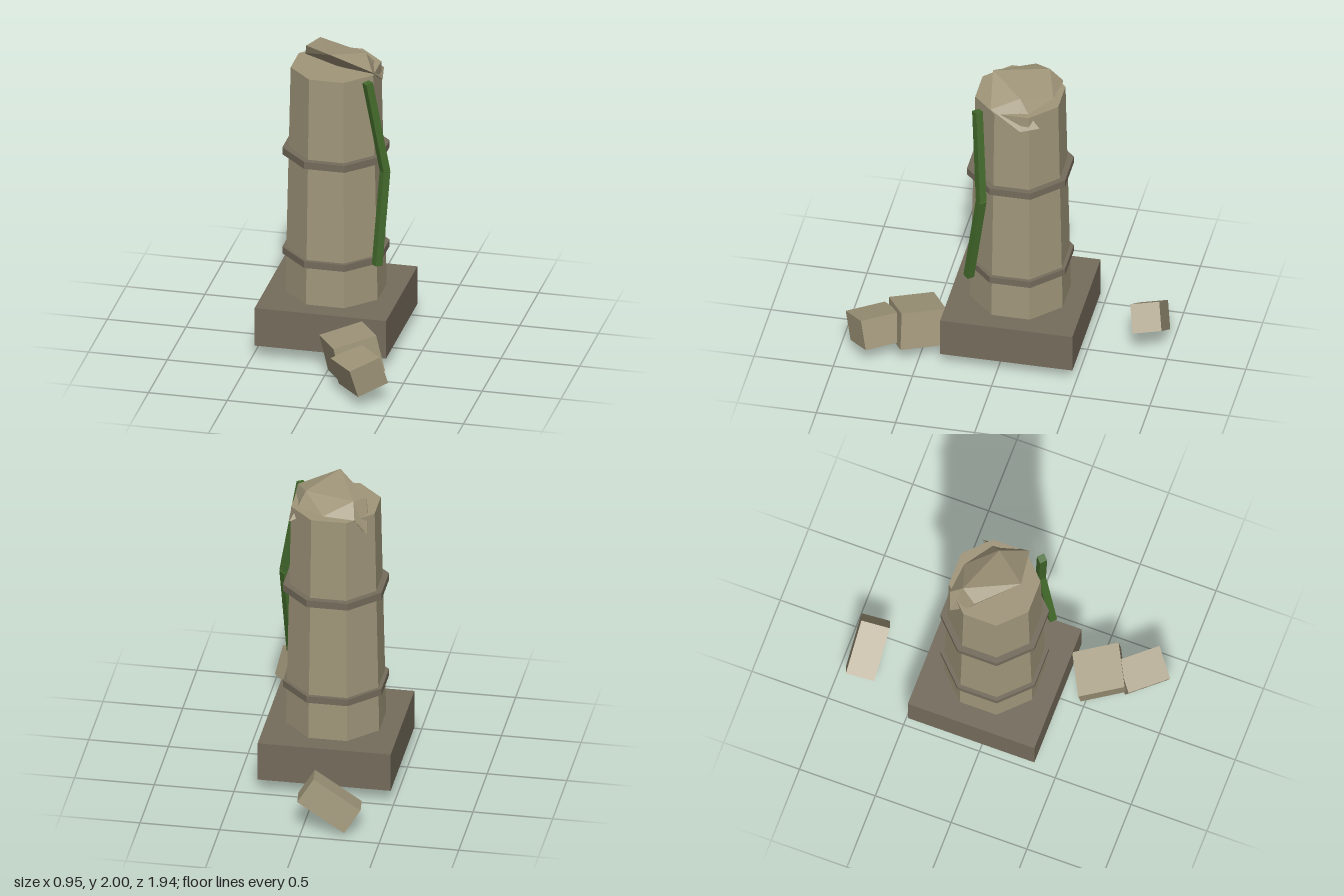
import * as THREE from 'three';

const mat = (color, extra = {}) => new THREE.MeshStandardMaterial({ color, flatShading: true, ...extra });
const V = (p) => new THREE.Vector3(...p);

export function createModel() {
  const model = new THREE.Group();
  const stone = mat(0xa0967a), darkStone = mat(0x756c5c), green = mat(0x446b2c);
  const CX = -0.0625, CZ = -0.0625;

  const add = (name, geometry, material, x = 0, y = 0, z = 0) => {
    const mesh = new THREE.Mesh(geometry, material);
    mesh.name = name;
    mesh.position.set(x, y, z);
    model.add(mesh);
    return mesh;
  };

  // Octagonal drum with a flat side to the front; radii measured to the flats
  const octagon = (name, rTop, rBottom, y0, y1, material) => {
    const k = 1 / Math.cos(Math.PI / 8);
    const g = new THREE.CylinderGeometry(rTop * k, rBottom * k, y1 - y0, 8);
    g.rotateY(Math.PI / 8);
    add(name, g, material, CX, (y0 + y1) / 2, CZ);
  };

  // Plinth, tapered shaft and the two bands
  add('plinth', new THREE.BoxGeometry(0.835, 0.255, 0.835), darkStone, CX, 0.2175, CZ);
  octagon('shaft', 0.262, 0.293, 0.345, 1.86, stone);
  octagon('lowerBand', 0.31, 0.31, 0.6, 0.645, darkStone);
  octagon('upperBand', 0.31, 0.31, 1.273, 1.32, darkStone);

  // Jagged broken slab on top, tilted up at the front with shards hanging at the back
  const p = {
    peak: [-0.06, 2.0, 0.11], right: [0.2, 1.89, 0.07], ridge: [0.12, 1.94, -0.1],
    backRidge: [-0.2, 1.96, -0.22], left: [-0.265, 1.94, -0.12], leftLow: [-0.28, 1.87, -0.16],
    shard: [0.22, 1.76, -0.12], shardTip: [0.2, 1.79, -0.24], notch: [0.16, 1.86, -0.16],
    back: [-0.02, 1.87, -0.28], backLeft: [-0.22, 1.87, -0.3],
    hook: [-0.295, 1.76, -0.27], under: [-0.05, 1.85, -0.05],
  };
  const faces = [
    'peak right ridge', 'peak ridge backRidge', 'peak backRidge left',
    'right shard ridge', 'ridge shard notch', 'shard shardTip notch', 'right under shard',
    'ridge notch back', 'ridge back backRidge', 'back backLeft backRidge',
    'backRidge backLeft hook', 'backRidge hook left', 'left hook leftLow',
    'peak left leftLow', 'peak leftLow under', 'peak under right',
    'under shard shardTip', 'under shardTip notch', 'under notch back',
    'under back backLeft', 'under backLeft hook', 'under hook leftLow',
  ];
  const slab = new THREE.BufferGeometry().setFromPoints(
    faces.flatMap((f) => f.split(' ').map((n) => V(p[n]))));
  slab.computeVertexNormals();
  add('brokenTop', slab, mat(0xa0967a, { side: THREE.DoubleSide }));

  // Fallen blocks, each from a top corner and its three edges (right, forward, down)
  const fallenBlock = (name, corner, right, forward, down) => {
    const r = V(right), f = V(forward), u = V(down).negate();
    const g = new THREE.BoxGeometry(1, 1, 1).translate(0.5, -0.5, 0.5);
    g.applyMatrix4(new THREE.Matrix4().makeBasis(r, u, f).setPosition(V(corner)));
    add(name, g, stone);
  };
  fallenBlock('fallenBlockInner', [-0.04, 0.265, 0.48], [0.24, 0.06, -0.13], [0.15, 0.03, 0.25], [0.056, -0.235, -0.005]);
  fallenBlock('fallenBlockOuter', [0.098, 0.246, 0.76], [0.16, 0.055, -0.13], [0.172, 0.02, 0.21], [0.044, -0.185, -0.04]);
  fallenBlock('fallenBlockBack', [-0.371, 0.182, -0.929], [0.293, 0.195, -0.007], [0.024, -0.03, 0.178], [0.097, -0.15, -0.035]);

  // Vine made of two straight stems
  const vine = [[0.19, 1.857, 0.155], [0.29, 1.25, 0.11], [0.26, 0.645, 0.195]].map(V);
  for (let i = 0; i < 2; i++) {
    const dir = vine[i].clone().sub(vine[i + 1]);
    const stem = add('vineStem', new THREE.CylinderGeometry(0.034, 0.034, dir.length(), 4), green);
    stem.position.copy(vine[i]).add(vine[i + 1]).multiplyScalar(0.5);
    stem.quaternion.setFromUnitVectors(new THREE.Vector3(0, 1, 0), dir.normalize());
  }
  return model;
}
